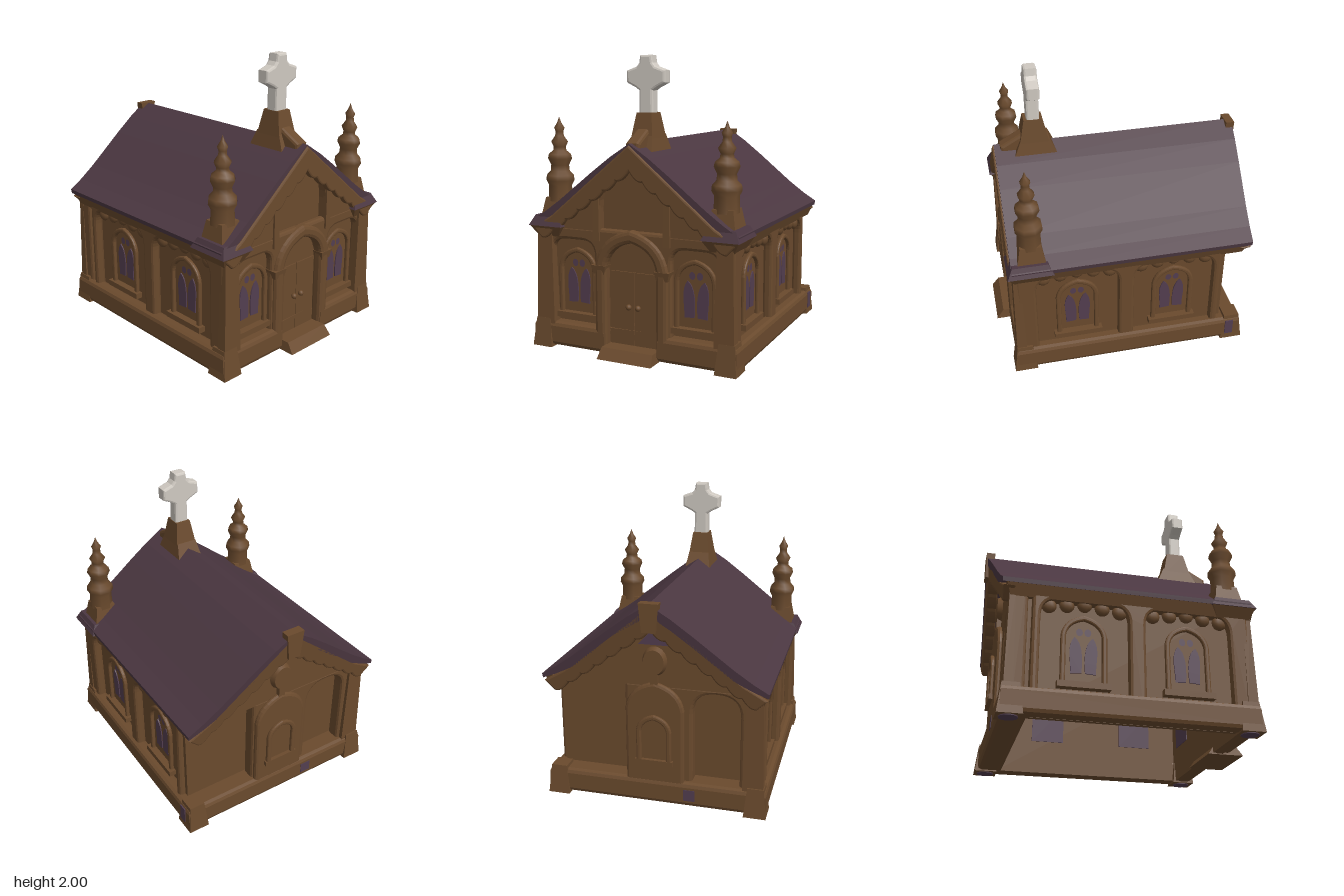
import * as THREE from 'three';

const mat = (name, color) => Object.assign(new THREE.MeshStandardMaterial({ color }), { name });
const V = (x, y) => new THREE.Vector2(x, y);

export function createModel() {
  const stone = mat('brown stone', 0x6a4a2d);
  const slate = mat('plum slate', 0x4b3741);
  const glass = mat('violet glass', 0x533e50);
  const pale = mat('pale stone', 0xcfc9c1);
  const root = new THREE.Group();
  root.name = 'chapel';

  const add = (parent, name, geo, material, x = 0, y = 0, z = 0) => {
    const m = new THREE.Mesh(geo, material);
    m.name = name;
    m.position.set(x, y, z);
    parent.add(m);
    return m;
  };
  const box = (w, h, d) => new THREE.BoxGeometry(w, h, d);
  const outline = pts => new THREE.Shape(pts.map(([x, y]) => V(x, y)));
  // Extrusion along +z, optionally with soft edges that stay inside the outline
  const extrude = (shape, depth, bevel = 0) => {
    const g = new THREE.ExtrudeGeometry(shape, {
      depth: depth - 2 * bevel, bevelEnabled: bevel > 0, bevelSize: bevel,
      bevelThickness: bevel, bevelOffset: -bevel, bevelSegments: 2, curveSegments: 8,
    });
    return g.translate(0, 0, bevel);
  };
  // Slightly pointed arch line, drawn from side -d to side d
  const archLine = (p, cx, y0, y1, hw, d) => {
    const ys = y1 - hw * 0.95, yc = ys + (y1 - ys) * 0.8;
    p.lineTo(cx - d * hw, ys);
    p.quadraticCurveTo(cx - d * hw * 0.9, yc, cx, y1);
    p.quadraticCurveTo(cx + d * hw * 0.9, yc, cx + d * hw, ys);
    return p.lineTo(cx + d * hw, y0);
  };
  const arch = (cx, y0, y1, hw) => archLine(new THREE.Shape().moveTo(cx - hw, y0), cx, y0, y1, hw, 1);
  // Arched band, open at the foot
  const archBand = (y0, y1, hw, t) => {
    const s = arch(0, y0, y1, hw);
    s.lineTo(hw - t, y0);
    return archLine(s, 0, y0, y1 - t, hw - t, -1);
  };
  // Wall layer from a to b whose openings [centre, top, half width, corner radius] reach its foot
  const pierced = (a, b, y0, topPoints, openings) => {
    const s = new THREE.Shape().moveTo(a, y0);
    for (const [cx, y1, hw, r] of openings) {
      s.lineTo(cx - hw, y0);
      s.lineTo(cx - hw, y1 - r);
      s.quadraticCurveTo(cx - hw, y1, cx - hw + r, y1);
      s.lineTo(cx + hw - r, y1);
      s.quadraticCurveTo(cx + hw, y1, cx + hw, y1 - r);
      s.lineTo(cx + hw, y0);
    }
    s.lineTo(b, y0);
    topPoints.forEach(([x, y]) => s.lineTo(x, y));
    return s;
  };
  // Box tapering towards its top
  const taper = (w0, d0, w1, d1, h) => {
    const g = box(1, h, 1), p = g.attributes.position;
    for (let i = 0; i < p.count; i++) {
      const top = p.getY(i) > 0;
      p.setXYZ(i, p.getX(i) * (top ? w1 : w0), p.getY(i) + h / 2, p.getZ(i) * (top ? d1 : d0));
    }
    g.computeVertexNormals();
    return g;
  };

  // Each facade is built facing +z and then turned into place
  const facade = (name, angle) => {
    const g = new THREE.Group();
    g.name = name;
    g.rotation.y = angle;
    root.add(g);
    return g;
  };
  const addWindow = (side, u, face, inner) => {
    const g = new THREE.Group();
    g.name = 'window';
    g.position.x = u;
    side.add(g);
    add(g, 'windowFrame', extrude(archBand(0.24, 0.71, 0.15, 0.034), 0.03, 0.01), stone, 0, 0, face);
    add(g, 'windowSill', box(0.34, 0.04, 0.06), stone, 0, 0.235, face + 0.02);
    for (const s of [-1, 1]) {
      const l = new THREE.Shape();
      l.moveTo(s * 0.012, 0.325);
      l.lineTo(s * 0.082, 0.32);
      l.bezierCurveTo(s * 0.076, 0.4, s * 0.112, 0.5, s * 0.06, 0.565);
      l.bezierCurveTo(s * 0.005, 0.53, s * 0.004, 0.42, s * 0.012, 0.325);
      add(g, 'lancet', extrude(l, 0.008), glass, 0, 0, face);
      const dot = add(g, 'tracery', new THREE.CircleGeometry(0.022, 10), glass, s * 0.027, 0.6, face + 0.006);
      dot.scale.y = 1.2;
    }
    add(g, 'innerPane', extrude(arch(0, 0.26, 0.64, 0.12), 0.006), glass, 0, 0, inner - 0.006);
  };

  // Side walls: core, pierced outer layer, corbels and windows
  for (const s of [1, -1]) {
    const side = facade(s > 0 ? 'leftWall' : 'rightWall', s * Math.PI / 2);
    add(side, 'wallCore', box(1.36, 0.84, 0.03), stone, 0, 0.44, 0.645);
    const us = [-0.34 * s - 0.03, 0.34 * s - 0.03].map(u => (s > 0 ? u : u + 0.06));
    const [a, b] = s > 0 ? [-0.79, 0.65] : [-0.65, 0.79];
    us.sort((p, q) => p - q);
    add(side, 'wallPiers', extrude(pierced(a, b, 0.02, [[b, 0.86], [a, 0.86]],
      us.map(u => [u, 0.79, 0.285, 0.12])), 0.07, 0.02), stone, 0, 0, 0.655);
    for (const u of us) {
      addWindow(side, u, 0.66, 0.63);
      for (let i = -2; i <= 2; i++) {
        const c = add(side, 'corbel', new THREE.SphereGeometry(0.05, 10, 8), stone,
          u + i * 0.115, 0.785 - Math.abs(i) * 0.014, 0.68);
        c.scale.z = 0.6;
      }
    }
    // Cornice under the eave
    add(side, 'cornice', taper(1.58, 0.06, 1.64, 0.13, 0.09), stone, 0, 0.785, 0.69);
  }

  // Gable ends
  const gableTop = [[0.72, 0.84], [0.5, 0.98], [0.25, 1.18], [0, 1.36], [-0.25, 1.18], [-0.5, 0.98], [-0.72, 0.84]];
  const core = outline([[-0.68, 0.02], [0.68, 0.02], ...gableTop.map(([x, y]) => [x * 0.96, y])]);
  const bargeboard = () => {
    const s = outline([[-0.75, 0.84], [-0.6, 0.93], [0, 1.425], [0.6, 0.93], [0.75, 0.84]]);
    // Scalloped lower edge running up and down the gable
    const n = 7;
    const at = k => {
      const t = 1 - Math.abs(k / n - 1);
      return [(k <= n ? 1 : -1) * 0.68 * (1 - t), 0.77 + 0.49 * t];
    };
    s.lineTo(...at(0));
    for (let i = 0; i < 2 * n; i++) {
      const [x0, y0] = at(i), [x1, y1] = at(i + 1);
      s.quadraticCurveTo((x0 + x1) / 2, (y0 + y1) / 2 - 0.045, x1, y1);
    }
    return s;
  };

  const front = facade('frontWall', 0);
  add(front, 'gableCore', extrude(core, 0.03), stone, 0, 0, 0.7);
  add(front, 'wallPiers', extrude(pierced(-0.72, 0.72, 0.02, [[0.72, 0.86], [-0.72, 0.86]],
    [[-0.45, 0.77, 0.165, 0.1], [0, 0.78, 0.19, 0.18], [0.45, 0.77, 0.165, 0.1]]), 0.065, 0.02), stone, 0, 0, 0.725);
  add(front, 'gablePiers', extrude(pierced(-0.72, 0.72, 0.835, gableTop,
    [[0, 1.22, 0.24, 0.22]]), 0.065), stone, 0, 0, 0.723);
  add(front, 'bargeboard', extrude(bargeboard(), 0.05, 0.012), stone, 0, 0, 0.775);
  for (const s of [-1, 1]) {
    addWindow(front, s * 0.44, 0.73, 0.7);
    add(front, 'cornerPier', taper(0.14, 0.07, 0.11, 0.05, 0.66), stone, s * 0.665, 0.17, 0.78);
    add(front, 'portalCapital', taper(0.08, 0.07, 0.11, 0.09, 0.06), stone, s * 0.235, 0.56, 0.78);
    add(front, 'gableShaft', taper(0.05, 0.04, 0.04, 0.03, 0.3), stone, s * 0.26, 0.78, 0.785);
    add(front, 'doorLeaf', box(0.178, 0.5, 0.02), stone, s * 0.091, 0.33, 0.745);
    add(front, 'doorKnob', new THREE.SphereGeometry(0.02, 12, 8), stone, s * 0.035, 0.345, 0.77);
  }
  add(front, 'door', extrude(arch(0, 0.07, 0.77, 0.2), 0.02), stone, 0, 0, 0.725);
  add(front, 'portal', extrude(archBand(0.04, 0.87, 0.27, 0.085), 0.085, 0.025), stone, 0, 0, 0.735);
  add(front, 'doorstep', taper(0.4, 0.25, 0.38, 0.15, 0.07), stone, 0, 0.01, 0.79);

  const back = facade('backWall', Math.PI);
  add(back, 'gableCore', extrude(core, 0.03), stone, 0, 0, 0.65);
  // The corner on this facade's left is an open recess beside the centre bay
  add(back, 'wallPiers', extrude(pierced(-0.21, 0.72, 0.02, [[0.72, 0.86], [-0.21, 0.86]],
    [[0.41, 0.82, 0.16, 0.15]]), 0.1, 0.02), stone, 0, 0, 0.675);
  add(back, 'gableWall', extrude(outline(gableTop), 0.1), stone, 0, 0, 0.673);
  add(back, 'centreBay', extrude(arch(0, 0.1, 0.88, 0.2), 0.05, 0.02), stone, 0, 0, 0.76);
  add(back, 'niche', extrude(archBand(0.32, 0.66, 0.12, 0.035), 0.03, 0.01), stone, 0, 0, 0.805);
  add(back, 'nicheSill', box(0.26, 0.035, 0.04), stone, 0, 0.32, 0.815);
  const disc = add(back, 'roundel', new THREE.CylinderGeometry(0.07, 0.085, 0.04, 20), stone, 0, 1.02, 0.79);
  disc.rotation.x = Math.PI / 2;
  disc.scale.z = 1.2;
  add(back, 'roundelStem', box(0.05, 0.12, 0.04), stone, 0, 0.9, 0.785);
  add(back, 'gablePanel', extrude(outline([[-0.11, 1.13], [0.11, 1.13], [0, 1.25]]), 0.006), glass, 0, 0, 0.772);
  add(back, 'cornerPier', taper(0.14, 0.06, 0.11, 0.04, 0.66), stone, 0.665, 0.17, 0.775);
  for (const s of [-1, 1]) {
    add(back, 'innerPane', extrude(arch(s * 0.41, 0.2, 0.7, 0.13), 0.006), glass, 0, 0, 0.644);
  }
  // The rear verge leans outwards towards the ridge
  const lean = (g, sign) => {
    const p = g.attributes.position;
    for (let i = 0; i < p.count; i++) {
      if (p.getZ(i) * sign > 0) p.setZ(i, p.getZ(i) + sign * 0.06 * (p.getY(i) - 0.87) / 0.56);
    }
    g.computeVertexNormals();
    return g;
  };
  add(back, 'bargeboard', lean(extrude(bargeboard(), 0.08, 0.012).translate(0, 0, 0.765), 1), stone);
  add(back, 'ridgeEnd', taper(0.09, 0.06, 0.13, 0.06, 0.19), stone, 0, 1.25, 0.88);

  // Plinth ring, open underneath and notched for the door
  const plinth = outline([[-0.755, -0.82], [-0.2, -0.82], [-0.2, -0.75], [0.2, -0.75], [0.2, -0.82],
    [0.755, -0.82], [0.755, 0.82], [-0.755, 0.82]]);
  plinth.holes.push(new THREE.Path([V(-0.65, -0.7), V(-0.65, 0.65), V(0.65, 0.65), V(0.65, -0.7)]));
  add(root, 'plinth', extrude(plinth, 0.17, 0.03).rotateX(-Math.PI / 2), stone, 0, 0.015, 0);
  for (const x of [-1, 1]) for (const z of [-1, 1]) {
    add(root, 'plinthCorner', taper(0.15, 0.16, 0.11, 0.11, 0.2), stone, x * 0.685, 0.006, z * 0.76);
    add(root, 'footPad', new THREE.CylinderGeometry(0.06, 0.06, 0.006, 12), glass, x * 0.685, 0.003, z * 0.76);
  }
  add(root, 'plinthPatch', box(0.008, 0.12, 0.06), glass, 0.757, 0.11, -0.74);
  add(root, 'plinthPatch', box(0.08, 0.08, 0.008), glass, -0.24, 0.1, -0.819);

  // Roof shell with nearly straight slopes, thinning towards the eaves
  const prof = [[0, 1.435], [0.14, 1.345], [0.28, 1.24], [0.54, 1.035], [0.66, 0.95], [0.76, 0.89]];
  const mirror = p => p.slice(1).reverse().map(([x, y]) => [-x, y]);
  const under = prof.map(([x, y]) => [x * 0.995, y - (x > 0.7 ? 0.03 : x > 0.6 ? 0.05 : 0.075)]);
  const roofShape = outline([...mirror(prof), ...prof, ...under.slice().reverse(), ...mirror(under).reverse()]);
  add(root, 'roof', lean(extrude(roofShape, 1.655).translate(0, 0, -0.845), -1), slate);

  // Corner pinnacles on flared eave corners
  const tiers = [[0.1, 0], [0.085, 0.05], [0.08, 0.19], [0.098, 0.225], [0.094, 0.26], [0.066, 0.29],
    [0.062, 0.33], [0.084, 0.375], [0.076, 0.405], [0.046, 0.43], [0.042, 0.455], [0.058, 0.49],
    [0.03, 0.53], [0.027, 0.56], [0.036, 0.585], [0.014, 0.62], [0, 0.66]].map(p => V(...p));
  for (const s of [-1, 1]) {
    add(root, 'eaveCorner', taper(0.26, 0.31, 0.19, 0.24, 0.07), slate, s * 0.642, 0.855, 0.685);
    add(root, 'eaveCornerUnderside', taper(0.16, 0.22, 0.25, 0.3, 0.075), stone, s * 0.642, 0.782, 0.685);
    add(root, 'pinnacleBase', taper(0.19, 0.19, 0.145, 0.145, 0.12), stone, s * 0.62, 0.92, 0.67);
    add(root, 'pinnacle', new THREE.LatheGeometry(tiers, 8), stone, s * 0.62, 0.93, 0.67).rotation.y = Math.PI / 8;
  }

  // Cross on its ridge pedestal
  add(root, 'pedestalFoot', taper(0.2, 0.32, 0.15, 0.2, 0.14), stone, 0, 1.34, 0.53);
  add(root, 'pedestal', taper(0.17, 0.22, 0.11, 0.13, 0.21), stone, 0, 1.415, 0.535);
  const brace = outline([[-0.77, 1.38], [-0.5, 1.38], [-0.5, 1.55], [-0.62, 1.52], [-0.77, 1.435]]);
  add(root, 'pedestalBrace', extrude(brace, 0.1, 0.02).rotateY(Math.PI / 2), stone, -0.05, 0, 0);
  const half = [[0.052, 1.6], [0.05, 1.77], [0.08, 1.79], [0.142, 1.82], [0.142, 1.9], [0.07, 1.925], [0.05, 1.95], [0.042, 2]];
  const cross = outline([...half, ...half.slice().reverse().map(([x, y]) => [-x, y])]);
  add(root, 'cross', extrude(cross, 0.09, 0.015), pale, 0, 0, 0.49);

  return root;
}
